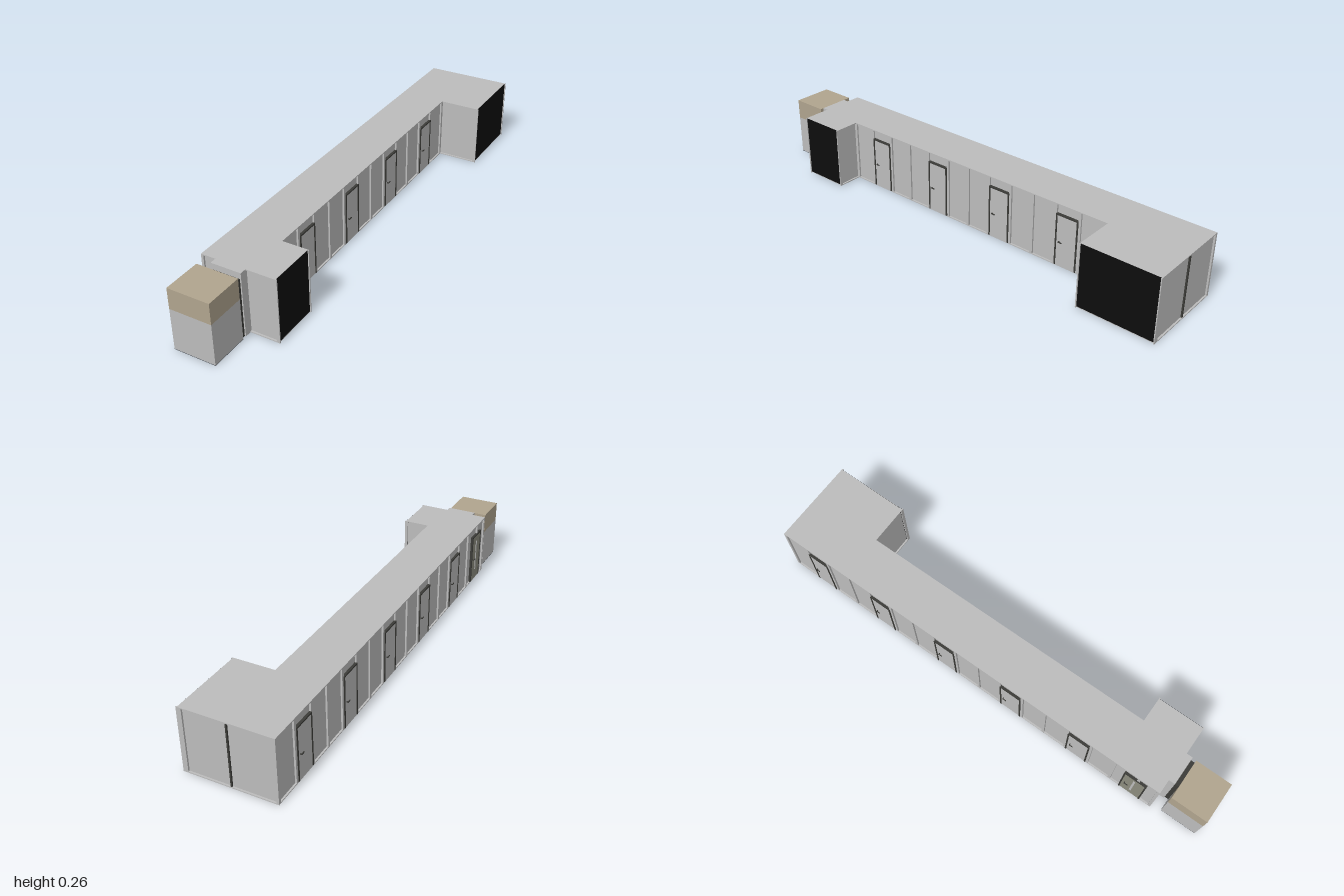
import * as THREE from 'three';

const mat = (name, color, side = THREE.FrontSide) => {
  const m = new THREE.MeshStandardMaterial({ color, side });
  m.name = name;
  return m;
};

export function createModel() {
  const root = new THREE.Group();
  root.name = 'corridor';
  const grey = mat('wall grey', 0xbcbcbc);
  const dark = mat('frame dark grey', 0x3c3c38);
  const black = mat('opening black', 0x0d0d0d);
  const tan = mat('lift tan', 0xb0a48e);
  const slate = mat('lift floor slate', 0x4a5058);
  const glassy = mat('end door olive grey', 0x8c8c7e);

  const H = 0.265, L = -0.182, R = 0.015, IN = 0.007;
  const FX = 0.12, FZ0 = 0.605, FZ1 = 0.803; // front side room
  const BX = 0.185, BZ0 = -1, BZ1 = -0.68; // back side room

  // box given by its two opposite corners
  const box = (name, m, x0, x1, y0, y1, z0, z1, parent = root) => {
    const b = new THREE.Mesh(new THREE.BoxGeometry(x1 - x0, y1 - y0, z1 - z0), m);
    b.position.set((x0 + x1) / 2, (y0 + y1) / 2, (z0 + z1) / 2);
    b.name = name;
    parent.add(b);
    return b;
  };

  // floor plan of the corridor with its two side rooms, inset by d
  const slab = (name, d, y0, y1) => {
    const pts = [
      [L + d, BZ0 + d], [BX - d, BZ0 + d], [BX - d, BZ1 - d], [R - d, BZ1 - d],
      [R - d, FZ0 + d], [FX - d, FZ0 + d], [FX - d, FZ1 - d], [L + d, FZ1 - d],
    ];
    const shape = new THREE.Shape(pts.map(([x, z]) => new THREE.Vector2(x, -z)));
    const g = new THREE.ExtrudeGeometry(shape, { depth: y1 - y0, bevelEnabled: false });
    g.rotateX(-Math.PI / 2);
    g.translate(0, y0, 0);
    const m = new THREE.Mesh(g, grey);
    m.name = name;
    root.add(m);
  };
  slab('floor', 0, 0, 0.004);
  slab('walls', IN, 0.004, H - 0.004);
  slab('ceiling', 0, H - 0.004, H);

  // black open ends of the side rooms
  box('frontRoomOpening', black, FX - IN, FX + 0.001, 0.004, H - 0.001, FZ0 + 0.003, FZ1 - 0.003);
  box('backRoomOpening', black, BX - IN, BX + 0.001, 0.004, H - 0.001, BZ0 + 0.003, BZ1 - 0.003);

  // corner posts of the openings
  for (const [x, z0, z1] of [[FX, FZ0, FZ1], [BX, BZ0, BZ1]]) {
    box('cornerPost', grey, x - 0.008, x + 0.005, 0, H, z0, z0 + 0.004);
    box('cornerPost', grey, x - 0.008, x + 0.005, 0, H, z1 - 0.004, z1);
  }

  // wall ribs: side +1 is the left wall (+x), -1 the right wall
  const rib = (side, z) => {
    const x = side > 0 ? R : L;
    const a = x - side * (IN + 0.002);
    box('wallRib', grey, Math.min(a, x), Math.max(a, x), 0.004, H - 0.004, z - 0.006, z + 0.006);
  };
  const STEP = 0.1065;
  for (let i = 0; i < 17; i++) {
    const z = -0.883 + i * STEP;
    if (z < 0.8) rib(-1, z);
    if (z > BZ1 + 0.02 && z < FZ0 - 0.01) rib(1, z);
  }
  box('backRib', dark, -0.003, 0.003, 0.004, H - 0.004, BZ0 + 0.001, BZ0 + 0.012);
  for (const x of [L + 0.005, BX - 0.01]) {
    box('backCorner', grey, x - 0.005, x + 0.005, 0.004, H - 0.004, BZ0, BZ0 + 0.012);
  }
  box('frontCorner', grey, L, L + 0.01, 0.004, H - 0.004, FZ1 - 0.012, FZ1);
  box('innerCorner', grey, R - IN, R, 0.004, H - 0.004, BZ1 - 0.01, BZ1 + 0.006);
  box('innerCorner', grey, R - IN, R, 0.004, H - 0.004, FZ0 - 0.006, FZ0 + 0.01);

  // framed door with a handle, built facing +x and turned for the other wall
  const addDoor = (side, z, leafMat) => {
    const d = new THREE.Group();
    d.name = 'door';
    const w = 0.049, h = 0.225, t = 0.006;
    box('doorLeaf', leafMat, -IN - 0.002, 0.001, 0.004, h - t, -w + t, w - t, d);
    box('doorJamb', dark, -IN - 0.002, 0.003, 0.004, h, -w, -w + t, d);
    box('doorJamb', dark, -IN - 0.002, 0.003, 0.004, h, w - t, w, d);
    box('doorHead', dark, -IN - 0.002, 0.003, h - t, h, -w + t, w - t, d);
    box('handleStem', dark, 0.001, 0.007, 0.106, 0.11, 0.029, 0.033, d);
    box('handleLever', dark, 0.005, 0.008, 0.106, 0.11, 0.016, 0.033, d);
    if (leafMat === glassy) {
      box('doorStrip', grey, 0, 0.003, 0.05, 0.19, -0.004, 0.004, d);
    }
    d.position.set(side > 0 ? R : L, 0, z);
    if (side < 0) d.rotation.y = Math.PI;
    root.add(d);
  };
  for (let i = 0; i < 5; i++) {
    const z = -0.83 + i * 3 * STEP;
    addDoor(-1, z, grey);
    if (i > 0) addDoor(1, z, grey);
  }
  addDoor(-1, 0.703, glassy);

  // passage to the lift
  box('liftPassage', grey, -0.121, 0.002, 0, H, FZ1 - 0.01, 0.829);
  box('liftDoor', dark, -0.115, -0.003, 0, 0.24, 0.829, 0.846);

  // lift car
  const lx0 = -0.168, lx1 = 0.003, z0 = 0.846, z1 = 1;
  box('liftFloor', slate, lx0, lx1, 0, 0.002, z0, z1);
  box('liftLower', grey, lx0, lx1, 0.002, 0.17, z0, z1);
  box('liftUpper', tan, lx0, lx1, 0.17, 0.255, z0, z1);

  return root;
}
